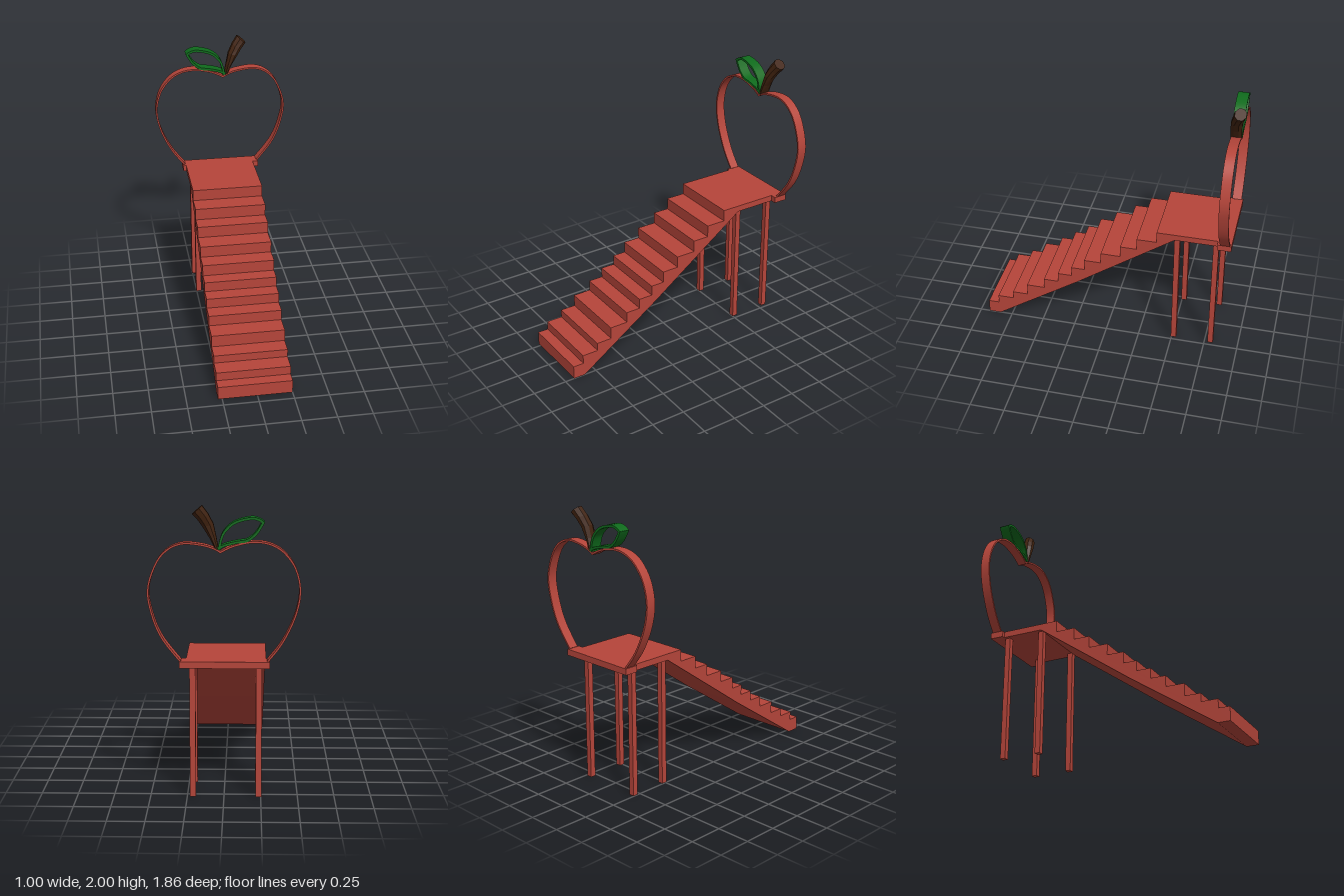
import * as THREE from 'three';
import { toCreasedNormals } from 'three/addons/utils/BufferGeometryUtils.js';

const red = new THREE.MeshStandardMaterial({ color: 0xb5453a });
const green = new THREE.MeshStandardMaterial({ color: 0x0f6a1c });
const brown = new THREE.MeshStandardMaterial({ color: 0x40220f, flatShading: true });

function add(parent, name, geometry, material) {
  const mesh = new THREE.Mesh(geometry, material);
  mesh.name = name;
  parent.add(mesh);
  return mesh;
}

function box(parent, name, x0, x1, y0, y1, z0, z1) {
  const mesh = add(parent, name, new THREE.BoxGeometry(x1 - x0, y1 - y0, z1 - z0), red);
  mesh.position.set((x0 + x1) / 2, (y0 + y1) / 2, (z0 + z1) / 2);
}

// A bent band: points run clockwise along the outer edge, thickness goes inward
function band(points, thickness, zBack, zFront, segments = 40) {
  const curve = new THREE.SplineCurve(points.map(([x, y]) => new THREE.Vector2(x, y)));
  const outer = [], inner = [];
  for (let i = 0; i <= segments; i++) {
    const p = curve.getPoint(i / segments), t = curve.getTangent(i / segments);
    outer.push(p);
    inner.unshift(new THREE.Vector2(p.x + t.y * thickness, p.y - t.x * thickness));
  }
  const geometry = new THREE.ExtrudeGeometry(new THREE.Shape([...outer, ...inner]),
    { depth: zFront - zBack, bevelEnabled: false });
  geometry.translate(0, 0, zBack);
  return toCreasedNormals(geometry, 0.6);
}

// Stem lofted through eight-sided rings: [left x, left y, right x, right y, centre z]
function stemGeometry() {
  const rings = [
    [0.032, 1.715, 0.055, 1.715, -0.862],
    [0.048, 1.8, 0.092, 1.79, -0.862],
    [0.065, 1.88, 0.135, 1.86, -0.866],
    [0.098, 1.945, 0.165, 1.905, -0.88],
    [0.137, 2.0, 0.2, 1.945, -0.894],
  ];
  const sides = 8, halfDepth = 0.039, pos = [], index = [];
  for (const [lx, ly, rx, ry, z] of rings) {
    for (let j = 0; j < sides; j++) {
      const a = ((j + 0.5) / sides) * Math.PI * 2;
      const c = Math.cos(a) / Math.cos(Math.PI / 8) / 2;
      const s = Math.sin(a) / Math.cos(Math.PI / 8);
      pos.push((lx + rx) / 2 + (rx - lx) * c, (ly + ry) / 2 + (ry - ly) * c, z + halfDepth * s);
    }
  }
  const last = (rings.length - 1) * sides;
  for (let i = 0; i < last; i += sides) {
    for (let j = 0; j < sides; j++) {
      const a = i + j, b = i + (j + 1) % sides;
      index.push(a, a + sides, b, b, a + sides, b + sides);
    }
  }
  for (let j = 1; j < sides - 1; j++) {
    index.push(0, j, j + 1, last, last + j + 1, last + j);
  }
  const geometry = new THREE.BufferGeometry();
  geometry.setAttribute('position', new THREE.Float32BufferAttribute(pos, 3));
  geometry.setIndex(index);
  geometry.computeVertexNormals();
  return geometry;
}

export function createModel() {
  const model = new THREE.Group();
  model.name = 'appleStairway';

  // Staircase and platform: side profile in (z, y), each step given as [front z, top y]
  const steps = [
    [0.93, 0.1], [0.85, 0.165], [0.73, 0.225], [0.615, 0.315], [0.48, 0.395], [0.37, 0.47],
    [0.265, 0.545], [0.165, 0.63], [0.04, 0.715], [-0.105, 0.802], [-0.225, 0.89], [-0.37, 0.975],
  ];
  const profile = new THREE.Shape();
  profile.moveTo(0.93, 0);
  steps.forEach(([z, y], i) => {
    profile.lineTo(z, y);
    profile.lineTo(i + 1 < steps.length ? steps[i + 1][0] : -0.81, y);
  });
  profile.lineTo(-0.81, 0.93);
  profile.lineTo(-0.5, 0.93);
  profile.lineTo(0, 0.575);
  profile.lineTo(0.22, 0.418);
  profile.lineTo(0.84, 0);
  const stairs = new THREE.ExtrudeGeometry(profile, { depth: 0.53, bevelEnabled: false });
  stairs.rotateY(-Math.PI / 2).translate(0.25, 0, 0);
  add(model, 'staircase', stairs, red);

  // Wider rear edge of the platform, carrying the arch
  box(model, 'platformRearBeam', -0.303, 0.293, 0.93, 0.975, -0.91, -0.81);

  // Four square legs
  for (const x of [-0.234, 0.21]) {
    for (const z of [-0.515, -0.795]) {
      box(model, 'leg', x - 0.02, x + 0.02, 0.005, 0.935, z - 0.02, z + 0.02);
    }
  }

  // Apple outline arch, two halves meeting at the dip
  const arch = new THREE.Group();
  arch.name = 'appleArch';
  model.add(arch);
  add(arch, 'archRight', band([
    [-0.294, 0.972], [-0.39, 1.1], [-0.47, 1.27], [-0.503, 1.44], [-0.47, 1.595], [-0.39, 1.705],
    [-0.294, 1.758], [-0.19, 1.77], [-0.09, 1.752], [-0.024, 1.728], [0.025, 1.702],
  ], 0.013, -0.9, -0.83), red);
  add(arch, 'archLeft', band([
    [0.015, 1.702], [0.06, 1.727], [0.14, 1.75], [0.26, 1.76], [0.36, 1.722], [0.44, 1.63],
    [0.497, 1.457], [0.474, 1.29], [0.41, 1.13], [0.29, 0.972],
  ], 0.013, -0.9, -0.83), red);

  // Leaf: an open loop of two bands meeting at the tip and at the base
  const leaf = new THREE.Group();
  leaf.name = 'leaf';
  model.add(leaf);
  add(leaf, 'leafTop', band([
    [-0.264, 1.892], [-0.235, 1.913], [-0.177, 1.925], [-0.07, 1.897], [0, 1.835],
    [0.028, 1.765], [0.034, 1.715],
  ], 0.017, -0.905, -0.826, 24), green);
  add(leaf, 'leafBottom', band([
    [0.034, 1.715], [-0.02, 1.738], [-0.09, 1.755], [-0.16, 1.768], [-0.215, 1.812],
    [-0.25, 1.865], [-0.264, 1.894],
  ], 0.017, -0.905, -0.826, 24), green);

  // Stem
  add(model, 'stem', stemGeometry(), brown);

  return model;
}
